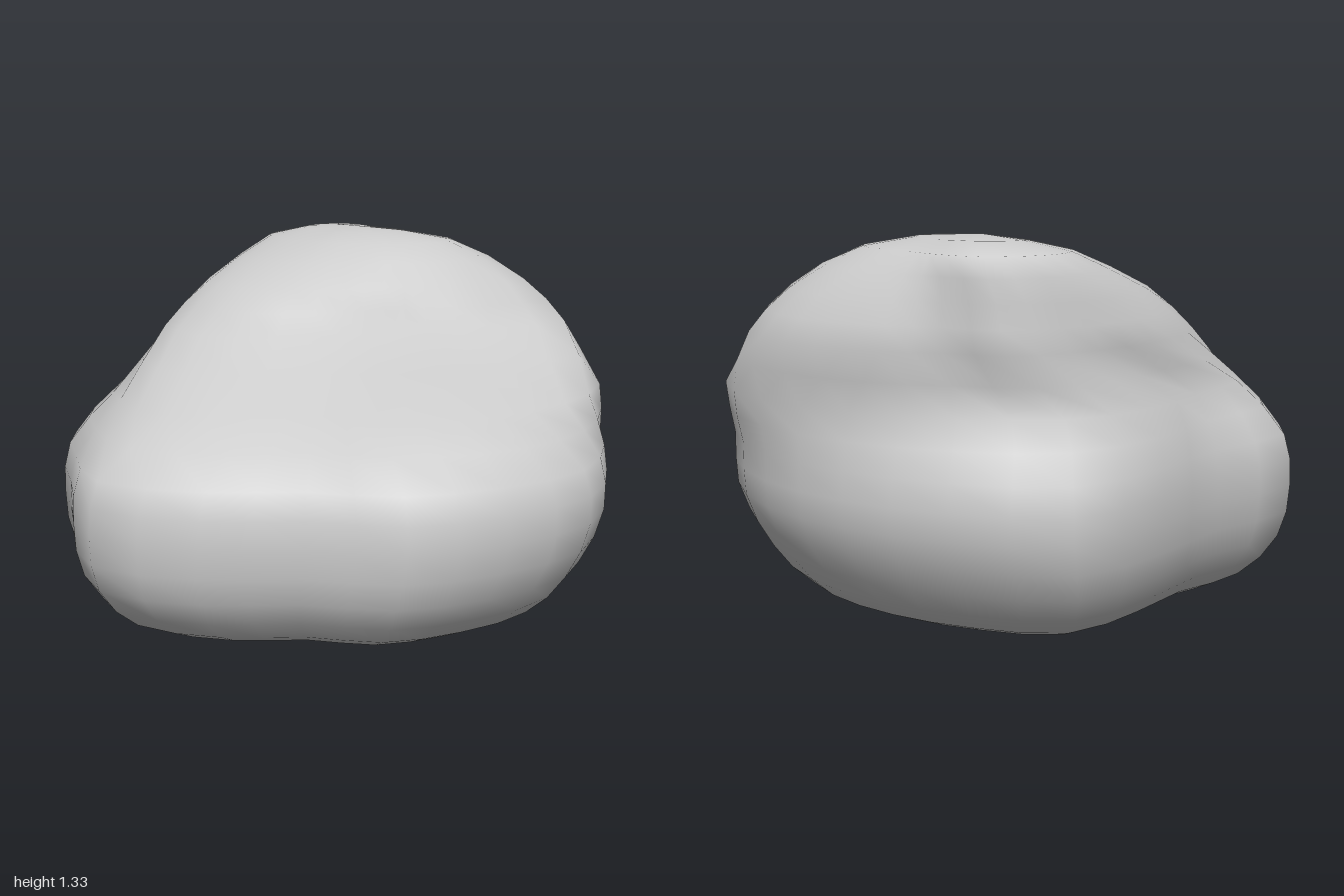
import * as THREE from 'three';
import { mergeVertices } from 'three/addons/utils/BufferGeometryUtils.js';

const AROUND = 32; // vertices per ring
const ROWS = 20; // steps from base to crown

// Smooth closed ring at height y about (x, z); radii run at equal angles from +x towards +z
function ring(y, x, z, radii) {
  const corners = radii.map((radius, k) => {
    const a = (k / radii.length) * Math.PI * 2;
    return new THREE.Vector3(x + radius * Math.cos(a), y, z + radius * Math.sin(a));
  });
  const curve = new THREE.CatmullRomCurve3(corners, true);
  return Array.from({ length: AROUND }, (_, k) => curve.getPoint(k / AROUND));
}

// Ring at height y, part of the way from one ring to another
function blend(a, b, amount, y) {
  return a.map((p, k) => p.clone().lerp(b[k], amount).setY(y));
}

// Ring at height y, shrunk towards the axis to round off the underside
function shrink(a, scale, y) {
  return a.map((p) => new THREE.Vector3(p.x * scale, y, p.z * scale + 0.03));
}

function boulderGeometry() {
  const waist = ring(0.44, 0, 0,
    [0.9, 0.85, 0.76, 0.87, 1, 0.94, 0.97, 0.81, 0.86, 1, 0.95, 0.94, 0.97, 1, 0.98, 0.98]);
  const shoulder = ring(0.8, 0, 0,
    [0.66, 0.53, 0.46, 0.55, 0.7, 0.76, 0.78, 0.72, 0.79, 0.86, 0.85, 0.9, 0.98, 1.03, 0.91, 0.76]);
  const neck = ring(1, -0.25, -0.3,
    [0.42, 0.39, 0.44, 0.57, 0.69, 0.72, 0.63, 0.56, 0.53, 0.53, 0.47, 0.52, 0.6, 0.72, 0.8, 0.57]);
  const plateau = ring(1.29, -0.35, -0.42,
    [0.34, 0.3, 0.27, 0.27, 0.27, 0.3, 0.35, 0.38, 0.37, 0.34, 0.27, 0.23, 0.23, 0.27, 0.34, 0.38]);
  const rings = [
    shrink(waist, 0.6, 0.04),
    shrink(waist, 0.8, 0.1),
    shrink(waist, 0.94, 0.25),
    waist,
    blend(waist, shoulder, 0.13, 0.62),
    shoulder,
    neck,
    blend(neck, plateau, 0.35, 1.15),
    plateau,
  ];
  const base = new THREE.Vector3(-0.1, 0.005, -0.1);
  const crown = new THREE.Vector3(-0.38, 1.335, -0.38);

  // Ribs run from base to crown through every ring, with skin between neighbours
  const positions = [];
  const index = [];
  for (let j = 0; j < AROUND; j++) {
    const rib = new THREE.CatmullRomCurve3([base, ...rings.map((points) => points[j]), crown]);
    const a = j * (ROWS + 1);
    const b = ((j + 1) % AROUND) * (ROWS + 1);
    for (let i = 0; i <= ROWS; i++) {
      positions.push(...rib.getPoint(i / ROWS).toArray());
      if (i < ROWS) index.push(a + i, a + i + 1, b + i + 1, a + i, b + i + 1, b + i);
    }
  }

  const geometry = new THREE.BufferGeometry();
  geometry.setAttribute('position', new THREE.Float32BufferAttribute(positions, 3));
  geometry.setIndex(index);
  const welded = mergeVertices(geometry);
  welded.computeVertexNormals();
  return welded;
}

export function createModel() {
  const group = new THREE.Group();
  group.name = 'rock';
  const boulder = new THREE.Mesh(boulderGeometry(), new THREE.MeshStandardMaterial({ color: 0xcccccc }));
  boulder.name = 'boulder';
  group.add(boulder);
  return group;
}
